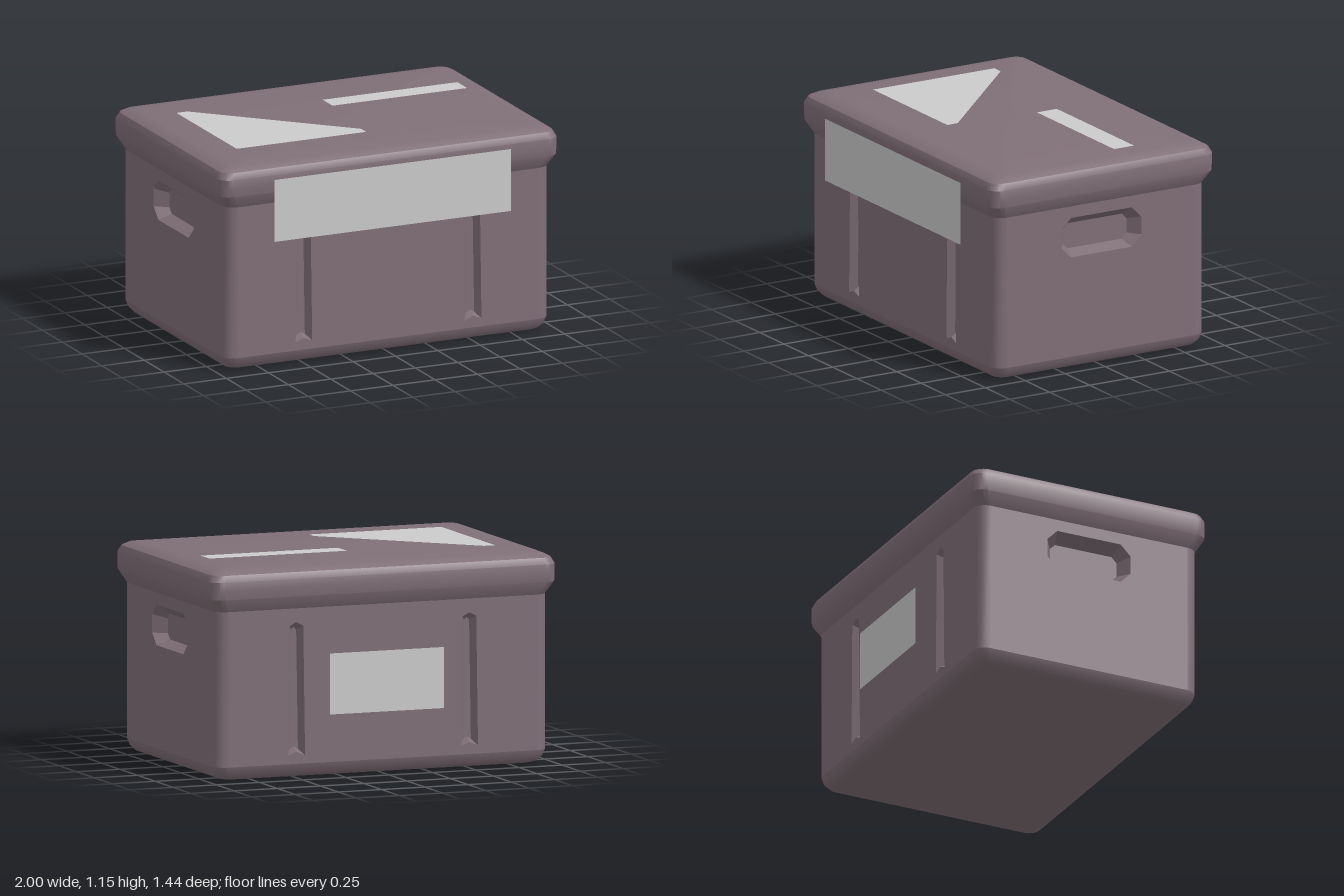
import * as THREE from 'three';
import { mergeGeometries, toCreasedNormals } from 'three/addons/utils/BufferGeometryUtils.js';

const HX = 0.96, HZ = 0.66, R = 0.07; // body half sizes and corner radius
const WALL_LOW = 0.075, WALL_HIGH = 0.915;
const ARC = 4; // segments per rounded corner

const boxMaterial = new THREE.MeshStandardMaterial({ color: 0x806f77 });
const labelMaterial = new THREE.MeshStandardMaterial({ color: 0xcccccc, side: THREE.DoubleSide });

function geometryFrom(positions) {
  const geo = new THREE.BufferGeometry();
  geo.setAttribute('position', new THREE.Float32BufferAttribute(positions, 3));
  return geo;
}

// Rounded rectangle at height y, grown by g beyond the body walls
function ring([y, g, r]) {
  const pts = [];
  for (let corner = 0; corner < 4; corner++) {
    const sx = corner === 0 || corner === 3 ? 1 : -1;
    const sz = corner < 2 ? 1 : -1;
    for (let i = 0; i <= ARC; i++) {
      const t = (corner + i / ARC) * Math.PI / 2;
      pts.push([sx * (HX + g - r) + r * Math.cos(t), y, sz * (HZ + g - r) + r * Math.sin(t)]);
    }
  }
  return pts;
}

// Skin between rings; cornersOnly leaves the four flat sides open
function loft(rings, cornersOnly = false) {
  const pos = [];
  for (let i = 0; i < rings.length - 1; i++) {
    const lo = rings[i], hi = rings[i + 1], n = lo.length;
    for (let j = 0; j < n; j++) {
      if (cornersOnly && j % (ARC + 1) === ARC) continue;
      const k = (j + 1) % n;
      pos.push(...lo[j], ...hi[j], ...lo[k], ...hi[j], ...hi[k], ...lo[k]);
    }
  }
  return geometryFrom(pos);
}

// Flat horizontal face closing a ring
function cap(points, up) {
  const pos = [], c = [0, points[0][1], 0];
  points.forEach((p, i) => {
    const q = points[(i + 1) % points.length];
    pos.push(...c, ...(up ? q : p), ...(up ? p : q));
  });
  return geometryFrom(pos);
}

function mesh(name, geo, material = boxMaterial) {
  const m = new THREE.Mesh(geo, material);
  m.name = name;
  return m;
}

const shapeOf = (pts) => new THREE.Shape(pts.map(([x, y]) => new THREE.Vector2(x, y)));

// Sunken pocket: sloping sides from the outer outline to a smaller floor
function pocket(outer, inner, depth) {
  const pos = [];
  outer.forEach((a, i) => {
    const j = (i + 1) % outer.length;
    const b = outer[j], c = inner[i], d = inner[j];
    pos.push(...a, 0, ...b, 0, ...c, -depth, ...b, 0, ...d, -depth, ...c, -depth);
  });
  const floor = new THREE.ShapeGeometry(shapeOf(inner)).toNonIndexed();
  floor.deleteAttribute('uv');
  floor.deleteAttribute('normal');
  floor.translate(0, 0, -depth);
  return toCreasedNormals(mergeGeometries([geometryFrom(pos), floor]), 0.6);
}

// Flat wall with its pockets; local +z faces outwards
function wall(name, halfWidth, pockets) {
  const group = new THREE.Group();
  group.name = name;
  const w = halfWidth - R;
  const shape = shapeOf([[-w, WALL_LOW], [w, WALL_LOW], [w, WALL_HIGH], [-w, WALL_HIGH]]);
  for (const p of pockets) {
    shape.holes.push(new THREE.Path(p.outer.map(([x, y]) => new THREE.Vector2(x, y))));
    group.add(mesh(p.name, pocket(p.outer, p.inner, p.depth)));
  }
  group.add(mesh('wallPanel', new THREE.ShapeGeometry(shape)));
  return group;
}

// Tall tapering groove at x
function groove(x) {
  const outline = (wLow, wHigh, low, high, slant) => [
    [x - wLow, low], [x, low + slant], [x + wLow, low],
    [x + wHigh, high - slant], [x, high], [x - wHigh, high - slant],
  ];
  return {
    name: 'groove', depth: 0.04,
    outer: outline(0.05, 0.04, 0.12, 0.84, 0.02),
    inner: outline(0.025, 0.015, 0.15, 0.81, 0.015),
  };
}

// Octagonal hand hold
function handle() {
  const outline = (w, low, high, c) => [
    [-w + c, low], [w - c, low], [w, low + c], [w, high - c],
    [w - c, high], [-w + c, high], [-w, high - c], [-w, low + c],
  ];
  return {
    name: 'handHold', depth: 0.07,
    outer: outline(0.25, 0.63, 0.85, 0.06),
    inner: outline(0.2, 0.66, 0.8, 0.03),
  };
}

function label(name, pts) {
  return mesh(name, new THREE.ShapeGeometry(shapeOf(pts)), labelMaterial);
}
const rect = (x0, y0, x1, y1) => [[x0, y0], [x1, y0], [x1, y1], [x0, y1]];

export function createModel() {
  const model = new THREE.Group();
  model.name = 'storageBox';

  // Rounded base
  const base = [[0, -0.07, 0.05], [0.012, -0.035, 0.06], [0.04, -0.01, R], [WALL_LOW, 0, R]].map(ring);
  model.add(mesh('base', toCreasedNormals(mergeGeometries([cap(base[0], false), loft(base)]), 0.7)));

  // Rounded upright corners
  const posts = [[WALL_LOW, 0, R], [WALL_HIGH, 0, R]].map(ring);
  model.add(mesh('cornerPosts', toCreasedNormals(loft(posts, true), 0.7)));

  // Walls: grooves front and back, hand holds on the sides
  for (let i = 0; i < 4; i++) {
    const isSide = i % 2 === 1;
    const w = isSide
      ? wall(i === 1 ? 'leftWall' : 'rightWall', HZ, [handle()])
      : wall(i === 0 ? 'frontWall' : 'backWall', HX, [groove(-0.5), groove(0.5)]);
    w.rotation.y = i * Math.PI / 2;
    w.translateZ(isSide ? HX : HZ);
    model.add(w);
  }

  // Lid with flared rim and softened top edge
  const lid = [
    [WALL_HIGH, 0, R], [0.985, 0.038, R], [1.03, 0.04, R], [1.08, 0.04, R],
    [1.115, 0.022, 0.065], [1.133, -0.01, 0.055], [1.14, -0.06, 0.04],
  ].map(ring);
  model.add(mesh('lid', toCreasedNormals(mergeGeometries([loft(lid), cap(lid.at(-1), true)]), 0.55)));

  // Front and back labels
  const front = label('frontLabel', rect(-0.7, 0.715, 0.695, 1.06));
  front.position.z = 0.72;
  const back = label('backLabel', rect(-0.33, 0.34, 0.33, 0.67));
  back.rotation.y = Math.PI;
  back.position.z = -0.72;
  model.add(front, back);

  // Lid labels, drawn as (x, -z) and laid flat
  const top = new THREE.Group();
  top.name = 'lidLabels';
  top.add(
    label('cornerLabel', [[-0.765, -0.38], [0, -0.38], [0, -0.315], [-0.7, 0.38], [-0.765, 0.38]]),
    label('stripLabel', rect(0.05, 0.15, 0.845, 0.275)),
  );
  top.rotation.x = -Math.PI / 2;
  top.position.y = 1.152;
  model.add(top);

  return model;
}
